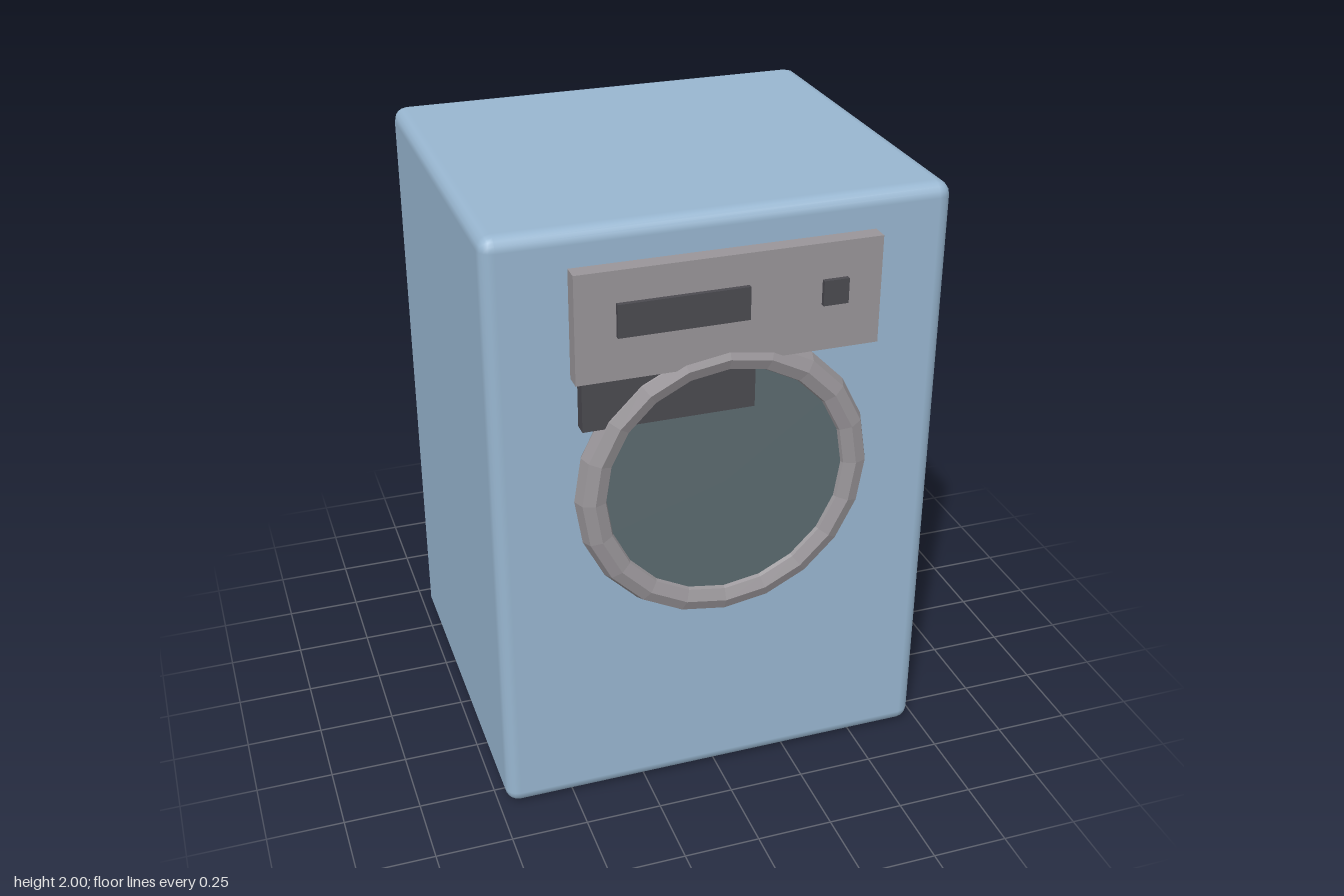
import * as THREE from 'three';
import { RoundedBoxGeometry } from 'three/addons/geometries/RoundedBoxGeometry.js';

const material = (name, color, flatShading = false) => {
  const m = new THREE.MeshStandardMaterial({ color, flatShading });
  m.name = name;
  return m;
};

export function createModel() {
  const blue = material('blue enamel', 0x98b6d0);
  const grey = material('grey trim', 0x999599, true);
  const dark = material('dark plastic', 0x4b4a50);
  const glass = material('smoked glass', 0x5b6a6f);

  const group = new THREE.Group();
  group.name = 'washingMachine';

  const add = (name, geometry, mat, x, y, z) => {
    const mesh = new THREE.Mesh(geometry, mat);
    mesh.name = name;
    mesh.position.set(x, y, z);
    group.add(mesh);
    return mesh;
  };

  // Box given by its front outline and the depth range it fills
  const plate = (name, mat, x0, x1, y0, y1, z0, z1) =>
    add(name, new THREE.BoxGeometry(x1 - x0, y1 - y0, z1 - z0), mat,
      (x0 + x1) / 2, (y0 + y1) / 2, (z0 + z1) / 2);

  // Cabinet with softened edges
  add('cabinet', new RoundedBoxGeometry(1.45, 1.997, 1.27, 2, 0.045), blue, 0, 1.0015, -0.035);

  // Control panel, display, button and detergent drawer
  plate('controlPanel', grey, -0.475, 0.475, 1.54, 1.885, 0.58, 0.655);
  plate('display', dark, -0.35, 0.055, 1.68, 1.785, 0.64, 0.67);
  plate('button', dark, 0.285, 0.365, 1.69, 1.77, 0.64, 0.67);
  plate('detergentDrawer', dark, -0.455, 0.085, 1.38, 1.54, 0.58, 0.645);

  // Round door: faceted ring with a glass disc inside
  add('doorRing', new THREE.TorusGeometry(0.425, 0.052, 8, 20), grey, 0, 1.13, 0.612);
  const door = add('doorGlass', new THREE.CylinderGeometry(0.41, 0.41, 0.05, 20), glass, 0, 1.13, 0.612);
  door.rotation.x = Math.PI / 2;

  // Feet, nearly flush with the underside
  for (const x of [-0.58, 0.58])
    for (const z of [-0.53, 0.46])
      add('foot', new THREE.CylinderGeometry(0.045, 0.045, 0.03, 12), dark, x, 0.015, z);

  return group;
}
